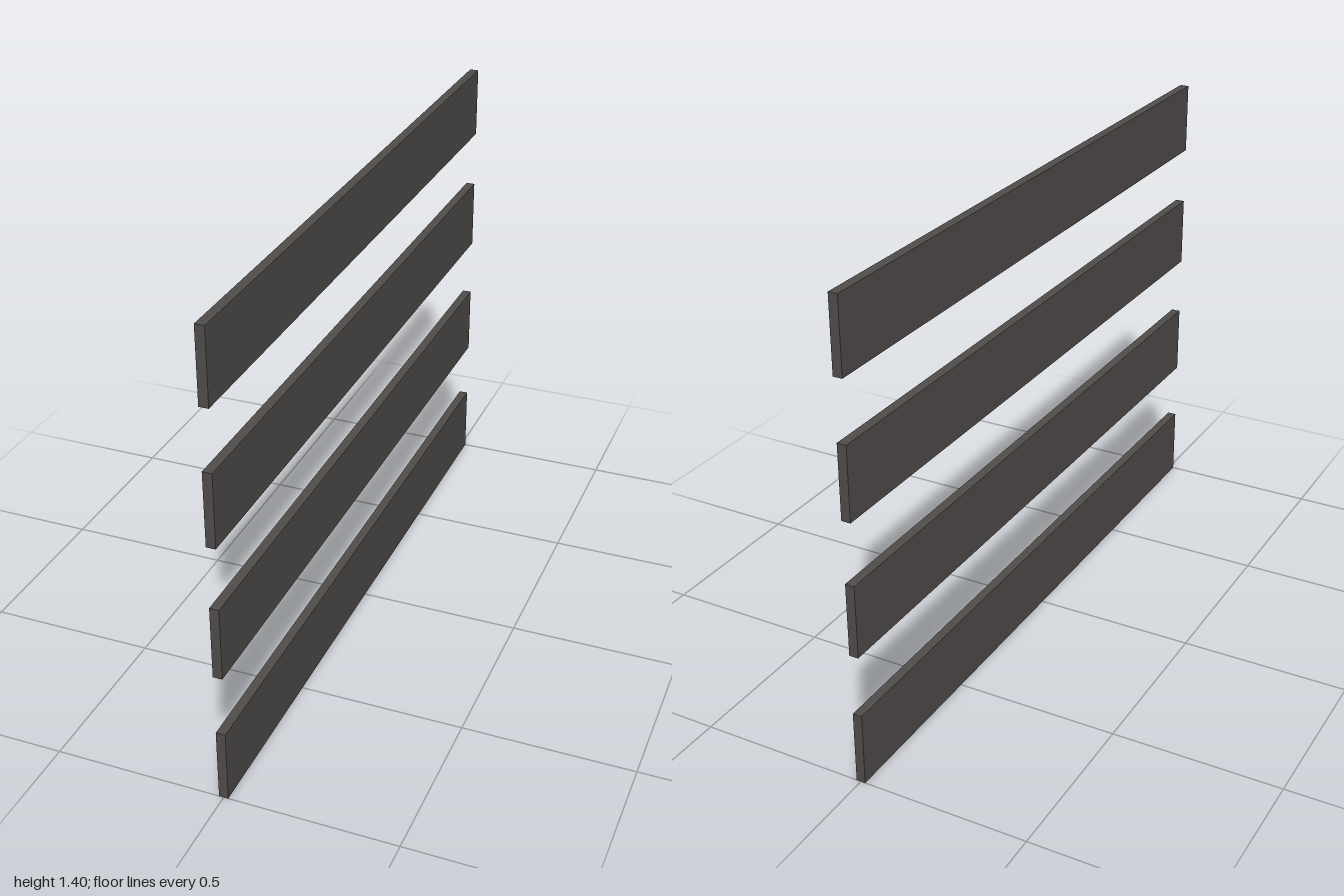
import * as THREE from 'three';

export function createModel() {
  const group = new THREE.Group();
  group.name = 'fenceRails';

  const darkWood = new THREE.MeshStandardMaterial({ color: 0x504c4a });
  darkWood.name = 'darkWood';

  // Four identical long rails stacked with gaps, running front to back
  const height = 0.215;
  const railGeometry = new THREE.BoxGeometry(0.027, height, 2);
  const bottoms = [0, 0.397, 0.794, 1.185];

  bottoms.forEach((bottom, i) => {
    const rail = new THREE.Mesh(railGeometry, darkWood);
    rail.name = `rail${i + 1}`;
    rail.position.y = bottom + height / 2;
    group.add(rail);
  });

  return group;
}
